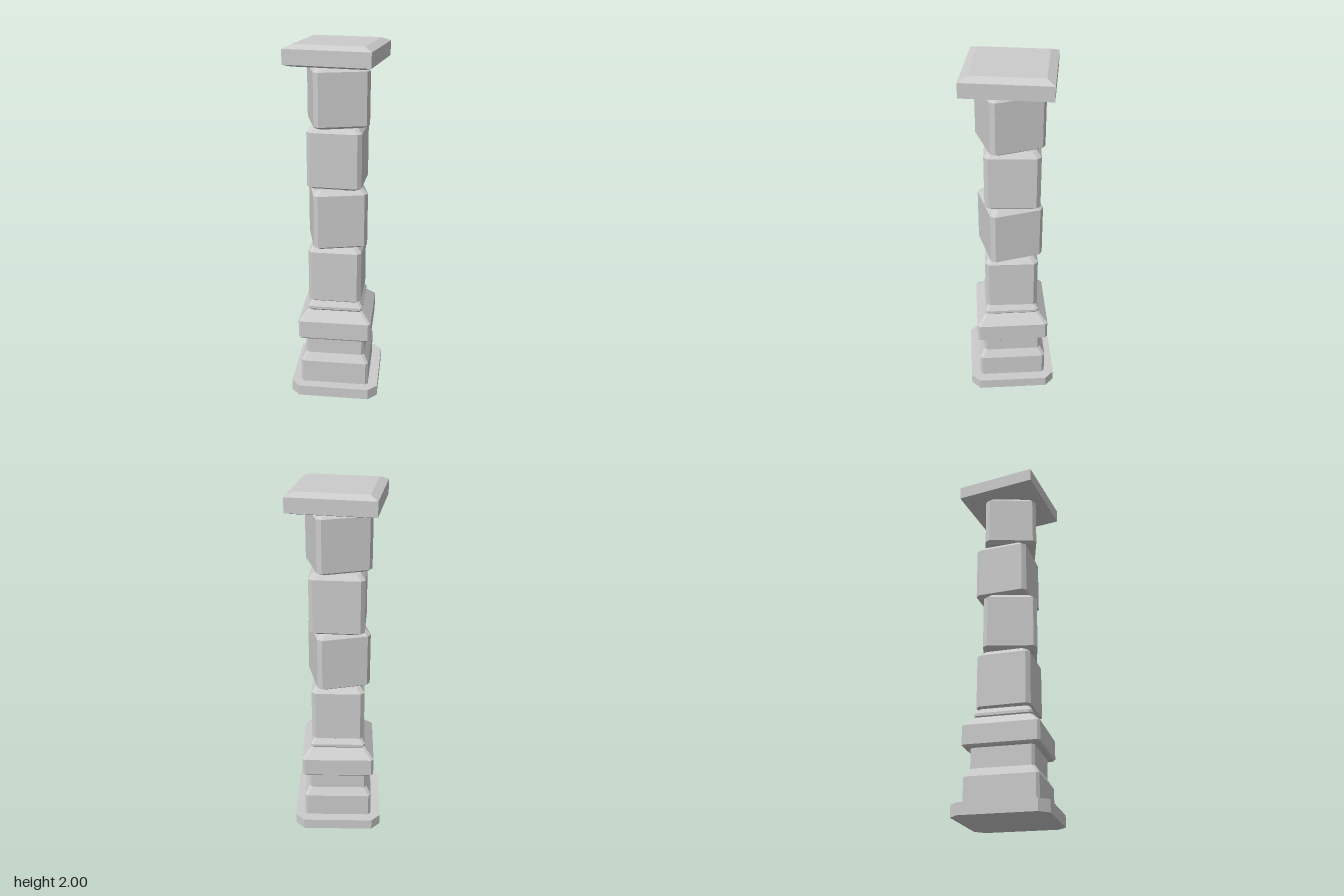
import * as THREE from 'three';

const stone = new THREE.MeshStandardMaterial({ color: 0xcccccc, flatShading: true });

// Square outline of half width h; corners cut by c (no cut when c is 0)
function outline(h, c) {
  const k = h - c;
  const side = c > 0 ? [[-k, h], [k, h]] : [[h, h]];
  const points = [];
  for (let q = 0; q < 4; q++) {
    for (let [x, z] of side) {
      for (let i = 0; i < q; i++) [x, z] = [z, -x];
      points.push([x, z]);
    }
  }
  return points;
}

// Closed solid through square rings [y, half width, corner cut], bottom to top
function ringSolid(name, rings) {
  const loops = rings.map(([y, h, c]) => outline(h, c).map(([x, z]) => [x, y, z]));
  const n = loops[0].length;
  const pos = [];
  const tri = (...corners) => corners.forEach((p) => pos.push(...p));
  const bottom = loops[0], top = loops[loops.length - 1];
  for (let i = 0; i < n; i++) {
    const j = (i + 1) % n;
    for (let r = 0; r < loops.length - 1; r++) {
      const a = loops[r], b = loops[r + 1];
      tri(a[i], a[j], b[j]);
      tri(a[i], b[j], b[i]);
    }
    tri([0, top[0][1], 0], top[i], top[j]);
    tri([0, bottom[0][1], 0], bottom[j], bottom[i]);
  }
  const geometry = new THREE.BufferGeometry();
  geometry.setAttribute('position', new THREE.Float32BufferAttribute(pos, 3));
  geometry.computeVertexNormals();
  const mesh = new THREE.Mesh(geometry, stone);
  mesh.name = name;
  return mesh;
}

export function createModel() {
  const column = new THREE.Group();
  column.name = 'column';

  // Pedestal
  column.add(
    ringSolid('basePlate', [[0, 0.25, 0.05], [0.063, 0.25, 0.05]]),
    ringSolid('pedestal', [
      [0.06, 0.195, 0.015], [0.2, 0.195, 0.015], [0.245, 0.168, 0.015], [0.36, 0.168, 0.015],
    ]),
    ringSolid('pedestalMoulding', [
      [0.352, 0.195, 0.012], [0.362, 0.205, 0.014], [0.465, 0.205, 0.014], [0.517, 0.155, 0.012],
    ]),
    ringSolid('shaftCollar', [
      [0.515, 0.147, 0.012], [0.525, 0.155, 0.012], [0.54, 0.155, 0.012], [0.568, 0.135, 0.012],
    ]),
  );

  // Shaft blocks, each turned a little: [bottom, height, turn, x, z]
  const blocks = [
    [0.565, 0.335, -0.02, -0.002, 0],
    [0.9, 0.338, 0.24, -0.002, 0.004],
    [1.235, 0.338, -0.06, -0.001, -0.01],
    [1.572, 0.321, 0.27, 0, 0.004],
  ];
  blocks.forEach(([y, height, turn, x, z], i) => {
    const block = ringSolid('shaftBlock' + (i + 1), [
      [0, 0.128, 0.02], [0.014, 0.148, 0.022],
      [height - 0.028, 0.148, 0.022], [height, 0.122, 0.02],
    ]);
    block.position.set(x, y, z);
    block.rotation.y = turn;
    column.add(block);
  });

  // Capital slab
  const slab = ringSolid('capitalSlab', [
    [1.89, 0.19, 0], [1.903, 0.228, 0], [1.98, 0.228, 0], [2, 0.186, 0],
  ]);
  slab.rotation.y = -0.154;
  column.add(slab);

  return column;
}
